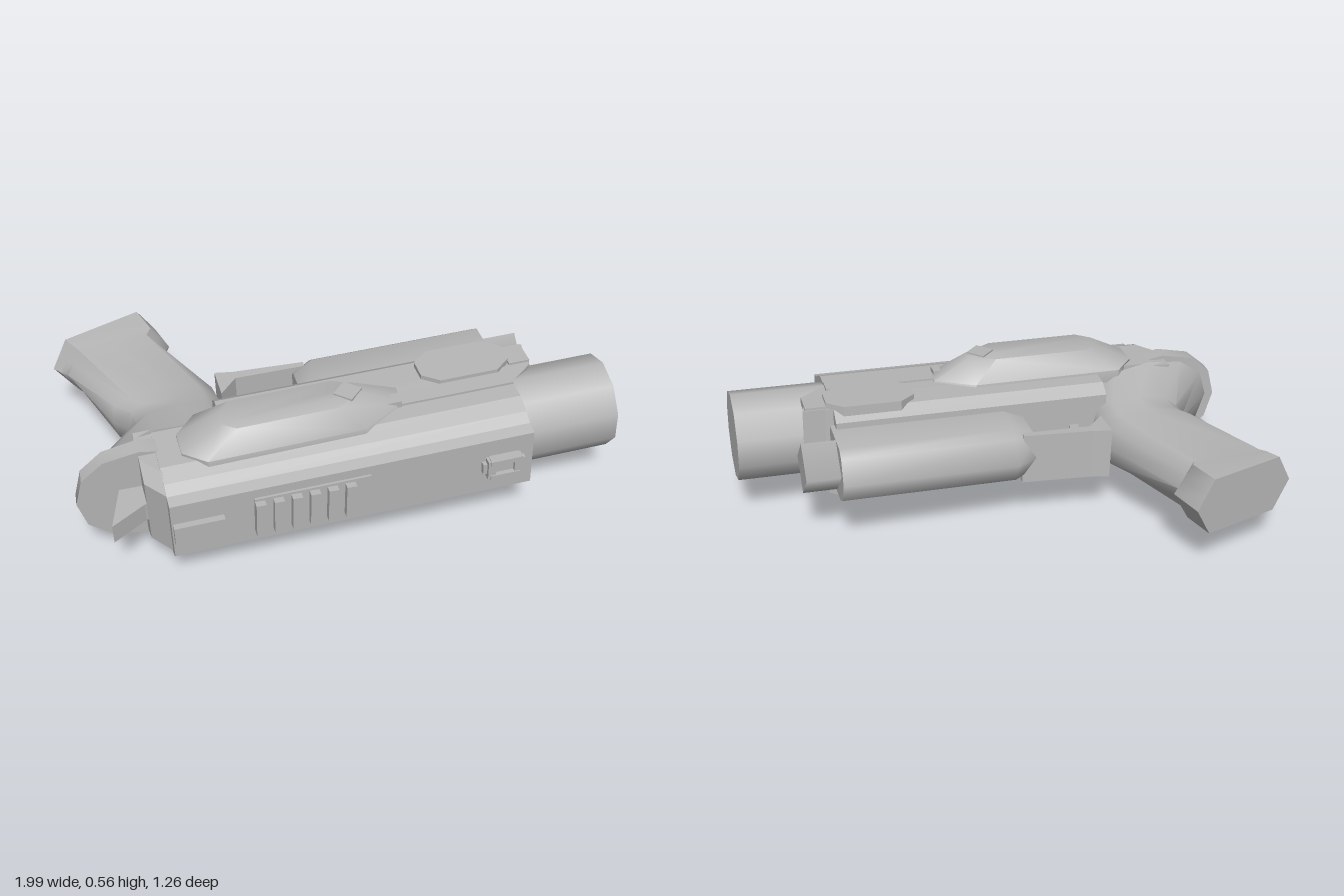
import * as THREE from 'three';
import { toCreasedNormals } from 'three/addons/utils/BufferGeometryUtils.js';

export function createModel() {
  const model = new THREE.Group();
  model.name = 'sidearm';
  // the whole piece lies slightly tilted
  model.position.set(0.018, 0.295, 0);
  model.rotation.set(0.04, -0.03, 0.04);
  const grey = new THREE.MeshStandardMaterial({ color: 0xb6b6b6 });
  grey.name = 'plain grey';

  const add = (name, geo, x = 0, y = 0, z = 0) => {
    const m = new THREE.Mesh(geo, grey);
    m.name = name;
    m.position.set(x, y, z);
    model.add(m);
    return m;
  };
  const box = (name, w, h, d, x, y, z) => add(name, new THREE.BoxGeometry(w, h, d), x, y, z);
  const shapeOf = (pts) => new THREE.Shape(pts.map(([a, b]) => new THREE.Vector2(a, b)));

  // outline in x,z extruded through the thickness y0..y1
  const plate = (name, pts, y0, y1) => {
    const g = new THREE.ExtrudeGeometry(shapeOf(pts.map(([x, z]) => [x, -z])), { depth: y1 - y0, bevelEnabled: false });
    g.rotateX(-Math.PI / 2).translate(0, y0, 0);
    return add(name, g);
  };
  // section in z,y extruded from x0 to x1
  const bar = (name, pts, x0, x1) => {
    const g = new THREE.ExtrudeGeometry(shapeOf(pts.map(([z, y]) => [-z, y])), { depth: x1 - x0, bevelEnabled: false });
    g.rotateY(Math.PI / 2).translate(x0, 0, 0);
    return add(name, g);
  };
  // closed skin through equal-sized rings of [x, y, z]
  const loft = (name, rings, crease = 0.6) => {
    const n = rings[0].length, idx = [], last = (rings.length - 1) * n;
    for (let i = 0; i < rings.length - 1; i++) {
      for (let j = 0; j < n; j++) {
        const a = i * n + j, b = i * n + (j + 1) % n;
        idx.push(a, b, a + n, b, b + n, a + n);
      }
    }
    for (let j = 1; j < n - 1; j++) idx.push(0, j + 1, j, last, last + j, last + j + 1);
    const g = new THREE.BufferGeometry();
    g.setAttribute('position', new THREE.Float32BufferAttribute(rings.flat(2), 3));
    g.setIndex(idx);
    return add(name, toCreasedNormals(g, crease));
  };
  // ring between a rear and a front point: hexagonal, or rounded when p is given
  const hexHalf = [[1, 0], [0.85, 0.5], [0.7, 1], [0, 1], [-0.7, 1], [-0.85, 0.5]];
  const hex = [...hexHalf, ...hexHalf.map(([u, v]) => [-u, -v])];
  const ring = ([lx, lz, rx, rz, half, p]) => hex.map((h, j) => {
    const t = j / 6 * Math.PI, c = Math.cos(t), s = Math.sin(t);
    const [u, v] = p ? [Math.sign(c) * Math.abs(c) ** p, Math.sign(s) * Math.abs(s) ** p] : h;
    return [(lx + rx) / 2 + u * (rx - lx) / 2, v * half, (lz + rz) / 2 + u * (rz - lz) / 2];
  });
  const rod = (name, r, x0, x1, y, z, sides, turn) => {
    const g = new THREE.CylinderGeometry(r, r, x1 - x0, sides);
    g.rotateY(turn).rotateZ(-Math.PI / 2);
    return add(name, g, (x0 + x1) / 2, y, z);
  };

  // main body with chamfered top edges, and its shorter lower half
  bar('body', [[0.573, -0.112], [0.573, 0.122], [0.53, 0.132], [0.49, 0.155], [0.43, 0.18], [0.24, 0.183],
    [0.24, -0.168], [0.42, -0.168], [0.5, -0.15], [0.54, -0.14]], -0.705, 0.62);
  bar('lowerBody', [[0.25, 0.183], [0.13, 0.178], [0.082, 0.145], [0.082, -0.145], [0.13, -0.165], [0.25, -0.168]], -0.45, 0.62);
  const rearRing = (x, z) => [[z, -0.13], [z, 0.13], [z - 0.08, 0.175], [0.22, 0.18], [0.22, -0.18], [z - 0.08, -0.172]]
    .map(([a, y]) => [x, y, a]).reverse();
  loft('rearPlate', [rearRing(-0.767, 0.44), rearRing(-0.7, 0.53)], 0.3);
  plate('muzzleCollar', [[0.6, 0.13], [0.65, 0.145], [0.735, 0.145], [0.725, 0.19], [0.72, 0.265], [0.62, 0.345], [0.6, 0.345]], -0.165, 0.178);

  // barrel
  rod('barrel', 0.175, 0.58, 0.98, 0.007, 0.342, 10, Math.PI / 10);

  // tube under the barrel, its tip, and the guard
  const tubeRing = (x, k) => [[0.12, 0.111], [-0.07, 0.111], [-0.105, 0.085], [-0.142, -0.01],
    [-0.11, -0.086], [-0.065, -0.109], [0.12, -0.109]].map(([z, y]) => [x, 0.01 + y * k, z < 0 ? z * k : z]);
  loft('underTube', [tubeRing(-0.11, 0.7), tubeRing(-0.03, 1), tubeRing(0.638, 1)].map((r) => r.reverse()), 0.9);
  rod('tubeTip', 0.104, 0.6, 0.767, 0.018, 0, 4, 0);
  plate('triggerGuard', [[-0.4, -0.13], [-0.33, -0.115], [-0.06, -0.095], [-0.06, -0.07], [-0.33, -0.075], [-0.4, 0.0]], -0.1, 0.1);
  plate('trigger', [[-0.3, -0.055], [-0.265, -0.045], [-0.31, 0.1], [-0.345, 0.1]], -0.03, 0.03);

  // grip flaring at its foot, and the tang widening into the body
  loft('grip', [
    [-0.985, -0.472, -0.555, -0.615, 0.113],
    [-0.96, -0.435, -0.52, -0.475, 0.112],
    [-0.935, -0.41, -0.55, -0.44, 0.108],
    [-0.81, -0.07, -0.405, -0.08, 0.116, 0.65],
    [-0.76, -0.02, -0.395, 0.0, 0.122, 0.7],
    [-0.755, 0.05, -0.395, 0.05, 0.135, 0.75],
    [-0.965, 0.275, -0.4, 0.2, 0.19, 0.9]].map(ring), 0.9);
  loft('tangRim', [[-1.0, 0.275, -0.52, 0.275, 0.194, 0.9], [-1.005, 0.335, -0.52, 0.35, 0.194, 0.9]].map(ring));
  plate('hammer', [[-0.902, 0.517], [-0.85, 0.34], [-0.8, 0.3], [-0.7, 0.34], [-0.7, 0.42], [-0.775, 0.44]], -0.04, 0.035);

  // bulged panels, rails and latches on both flanks
  const podBase = [[-0.62, 0.285], [-0.54, 0.195], [0.05, 0.19], [0.2, 0.265], [0.19, 0.355], [0.03, 0.455], [-0.54, 0.46], [-0.62, 0.39]];
  const podRing = (s, y, kx, kz) => {
    const r = podBase.map(([x, z]) => [-0.21 + (x + 0.21) * kx, s * y, 0.325 + (z - 0.325) * kz]);
    return s > 0 ? r.reverse() : r;
  };
  const capShape = shapeOf([[-0.17, -0.04], [-0.11, -0.09], [0.11, -0.09], [0.17, -0.04], [0.17, 0.04], [0.11, 0.09], [-0.11, 0.09], [-0.17, 0.04]]);
  for (const s of [1, -1]) {
    const flank = 0.006 + s * 0.166;
    loft('sidePanel', [podRing(s, 0.14, 1, 1), podRing(s, 0.19, 1, 1), podRing(s, 0.266, 0.64, 0.58)], 0.9);
    box('flankRail', 0.44, 0.036, 0.07, 0.4, flank, 0.325);
    box('railTab', 0.08, 0.04, 0.05, 0.15, flank + s * 0.015, 0.34);
    const stud = box('panelStud', 0.075, 0.009, 0.075, 0, s * 0.268, 0.325);
    stud.rotation.y = Math.PI / 4;
    const cap = add('ovalCap', new THREE.ExtrudeGeometry(capShape, { depth: 0.04, bevelEnabled: false }), 0.475, flank + s * 0.008 + 0.02, 0.195);
    cap.rotation.x = Math.PI / 2;
    box('collarCatch', 0.08, 0.03, 0.1, 0.685, flank, 0.2);
  }

  // ribs on their pad
  box('ribPad', 0.42, 0.17, 0.016, -0.2, 0, 0.574);
  for (let i = 0; i < 6; i++) {
    const rib = box('rib', 0.036, 0.14, 0.035, -0.395 + i * 0.065, 0.005, 0.59);
    rib.rotation.z = -0.04;
  }

  // sights along the top edge
  box('rearSight', 0.18, 0.08, 0.04, -0.61, 0.0, 0.578);
  box('frontSightBase', 0.16, 0.045, 0.025, 0.505, 0.01, 0.58);
  for (const s of [1, -1]) {
    box('frontSightRail', 0.11, 0.02, 0.045, 0.505, 0.01 + s * 0.033, 0.587);
    box('frontSightPost', 0.03, 0.08, 0.04, 0.505 + s * 0.05, 0.01, 0.585);
  }
  return model;
}
